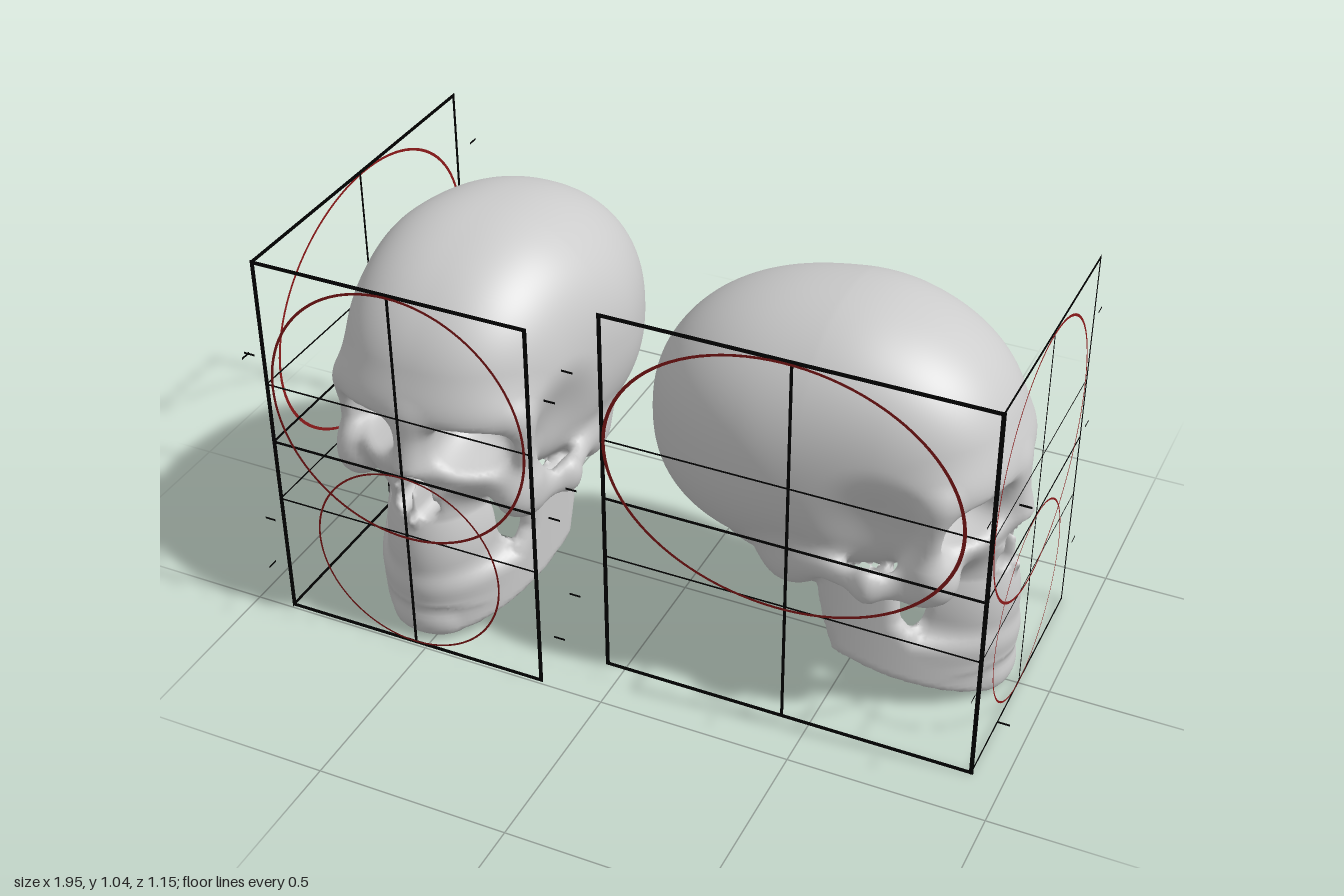
import * as THREE from 'three';

const { abs, min, max, hypot, pow } = Math;
const clamp = (v, a = 0, b = 1) => min(max(v, a), b);

// Smooth blend, smooth cut and basic distance fields
const smin = (a, b, k) => { const h = max(k - abs(a - b), 0) / k; return min(a, b) - h * h * k / 4; };
const smax = (a, b, k) => -smin(-a, -b, k);
function ell(x, y, z, cx, cy, cz, rx, ry, rz) {
  const a = (x - cx) / rx, b = (y - cy) / ry, c = (z - cz) / rz;
  const k = hypot(a, b, c);
  return k * (k - 1) / (hypot(a / rx, b / ry, c / rz) + 1e-6);
}
function cap(x, y, z, a, b, r, tall = 1) {
  const dx = b[0] - a[0], dy = b[1] - a[1], dz = b[2] - a[2];
  const px = x - a[0], py = y - a[1], pz = z - a[2];
  const t = clamp((px * dx + py * dy + pz * dz) / (dx * dx + dy * dy + dz * dz));
  return hypot(px - t * dx, (py - t * dy) / tall, pz - t * dz) - r;
}
function polygon(u, v, pts) {
  let d = Infinity, s = 1;
  for (let i = 0, j = pts.length - 1; i < pts.length; j = i++) {
    const [ax, ay] = pts[i], ex = pts[j][0] - ax, ey = pts[j][1] - ay, wx = u - ax, wy = v - ay;
    const t = clamp((wx * ex + wy * ey) / (ex * ex + ey * ey));
    d = min(d, hypot(wx - ex * t, wy - ey * t));
    const c1 = v >= ay, c2 = v < pts[j][1], c3 = ex * wy > ey * wx;
    if ((c1 && c2 && c3) || (!c1 && !c2 && !c3)) s = -s;
  }
  return s * d;
}
function ellipse2(x, z, a, b) {
  const k = hypot(x / a, z / b);
  return k * (k - 1) / (hypot(x / a / a, z / b / b) + 1e-6);
}

// Braincase: wide and round behind, a little narrower and squarer in front
function vault(x, y, z) {
  const t = THREE.MathUtils.smoothstep(z, -0.15, 0.18);
  const p = 2.15 + 0.3 * t, q = 2.35 - 0.33 * t;
  const yy = abs(y - 0.688 - (z < 0 ? 0.08 : 0.02) * z) / 0.347, zz = abs(z) / (z < 0 ? 0.48 : 0.443);
  const profile = pow(pow(yy, q) + pow(zz, q), 1 / q);
  return (pow(pow(x / (0.347 - 0.03 * t), p) + pow(profile, p), 1 / p) - 1) * 0.36;
}

function craniumField(x, y, z) {
  // braincase, brow, base and mastoids
  let f = vault(x, y, z);
  f = smin(f, ell(x, y, z, 0, 0.675, 0.315, 0.25, 0.07, 0.125), 0.07);
  f = smin(f, ell(x, y, z, 0, 0.375, -0.08, 0.19, 0.068, 0.22), 0.06);
  f = smin(f, ell(x, y, z, 0.235, 0.42, -0.03, 0.06, 0.085, 0.085), 0.06);
  // hollow temples and opening in the base
  f = smax(f, -ell(x, y, z, 0.425, 0.55, 0.2, 0.165, 0.17, 0.13), 0.08);
  f = smax(f, -ell(x, y, z, 0, 0.3, -0.08, 0.09, 0.075, 0.115), 0.02);
  // midface, outer eye rim, cheekbone and arch
  f = smin(f, ell(x, y, z, 0, 0.52, 0.28, 0.225, 0.14, 0.17), 0.04);
  f = smin(f, cap(x, y, z, [0.24, 0.66, 0.33], [0.25, 0.49, 0.31], 0.025), 0.05);
  f = smin(f, ell(x, y, z, 0.225, 0.44, 0.315, 0.062, 0.07, 0.068), 0.05);
  f = smin(f, cap(x, y, z, [0.25, 0.42, 0.29], [0.298, 0.424, 0.18], 0.021, 1.7), 0.04);
  f = smin(f, cap(x, y, z, [0.298, 0.424, 0.18], [0.265, 0.435, 0], 0.02, 1.5), 0.04);
  // nasal bones
  f = smin(f, cap(x, y, z, [0, 0.65, 0.42], [0, 0.535, 0.457], 0.029), 0.06);
  // block of the tooth rows
  const bulge = 0.02 * min(pow((y - 0.25) / 0.12, 2), 1);
  const arch = smax(ellipse2(x, z - 0.27, 0.15, 0.203) + bulge, 0.28 - z, 0.03);
  f = smin(f, max(arch, 0.14 - y, y - 0.45), 0.04);
  // eye sockets, open to the front and narrowing inward
  const depth = max(0.44 - z, 0);
  const ex = (x - 0.155 + 0.2 * depth) / 0.097, ey = (y - 0.583 + 0.15 * (x - 0.15)) / 0.066;
  const socket = (pow(pow(abs(ex), 3) + pow(abs(ey), 3) + pow(depth / 0.19, 3), 1 / 3) - 1) * 0.07;
  f = smax(f, -max(socket, 0.2 - z), 0.03);
  // nasal opening with septum, and spine below it
  const t = clamp((y - 0.405) / 0.1);
  const nostril = hypot(x - 0.033 + 0.022 * t, y - 0.405 - 0.1 * t) - 0.027 + 0.014 * t;
  f = smax(f, -max(nostril, 0.33 - z), 0.012);
  return smin(f, cap(x, y, z, [0, 0.367, 0.43], [0, 0.37, 0.462], 0.011), 0.02);
}

// Side outline of the jaw as [z, y]
const jawOutline = [[0.44, 0.012], [0.2, 0.093], [0.075, 0.148], [0.045, 0.25], [0.018, 0.41], [0.06, 0.42],
  [0.11, 0.395], [0.16, 0.4], [0.2, 0.43], [0.225, 0.38], [0.235, 0.26], [0.28, 0.205], [0.5, 0.165], [0.5, 0.03]];

function jawField(x, y, z) {
  const wall = abs(ellipse2(x, z, 0.25, 0.466) + 0.026) - 0.026;
  const f = smax(wall, polygon(z, y, jawOutline), 0.03);
  return smin(f, ell(x, y, z, 0, 0.056, 0.428, 0.08, 0.042, 0.042), 0.03);
}

// Cranium and jaw run into each other at the tooth rows
function skullField(x, y, z) {
  x = abs(x);
  return smin(craniumField(x, y, z), jawField(x, y, z), z > 0.26 ? 0.06 : 0.015);
}

// Turns a distance field into a smooth quad mesh on a regular grid
function skin(field, lo, hi, step) {
  const n = lo.map((v, i) => Math.ceil((hi[i] - v) / step) + 1);
  const stride = [1, n[0], n[0] * n[1]];
  const val = new Float32Array(n[0] * n[1] * n[2]), cell = new Int32Array(val.length).fill(-1);
  const each = (m, fn) => {
    for (let k = m; k < n[2] - 1; k++) for (let j = m; j < n[1] - 1; j++) for (let i = m; i < n[0] - 1; i++)
      fn([i, j, k], i + j * stride[1] + k * stride[2]);
  };
  for (let k = 0, id = 0; k < n[2]; k++) for (let j = 0; j < n[1]; j++) for (let i = 0; i < n[0]; i++)
    val[id++] = field(lo[0] + i * step, lo[1] + j * step, lo[2] + k * step);

  const pos = [], nor = [], idx = [];
  each(0, (p, id) => {
    let count = 0;
    const sum = [0, 0, 0];
    for (let c = 0; c < 8; c++) for (let ax = 0; ax < 3; ax++) {
      if (c >> ax & 1) continue;
      const o = [c & 1, c >> 1 & 1, c >> 2 & 1];
      const s = id + o[0] + o[1] * stride[1] + o[2] * stride[2];
      const v0 = val[s], v1 = val[s + stride[ax]];
      if ((v0 < 0) === (v1 < 0)) continue;
      o[ax] = v0 / (v0 - v1);
      for (let d = 0; d < 3; d++) sum[d] += o[d];
      count++;
    }
    if (!count) return;
    const [x, y, z] = sum.map((s, d) => lo[d] + (p[d] + s / count) * step);
    const e = step * 0.5;
    const g = new THREE.Vector3(field(x + e, y, z) - field(x - e, y, z),
      field(x, y + e, z) - field(x, y - e, z), field(x, y, z + e) - field(x, y, z - e)).normalize();
    cell[id] = pos.length / 3;
    pos.push(x, y, z);
    nor.push(g.x, g.y, g.z);
  });
  each(1, (p, id) => {
    for (let ax = 0; ax < 3; ax++) {
      const inside = val[id] < 0;
      if (inside === (val[id + stride[ax]] < 0)) continue;
      const b = stride[(ax + 1) % 3], c = stride[(ax + 2) % 3];
      const quad = [cell[id - b - c], cell[id - c], cell[id], cell[id - b]];
      if (!inside) quad.reverse();
      idx.push(quad[0], quad[1], quad[2], quad[0], quad[2], quad[3]);
    }
  });
  const geo = new THREE.BufferGeometry();
  geo.setAttribute('position', new THREE.Float32BufferAttribute(pos, 3));
  geo.setAttribute('normal', new THREE.Float32BufferAttribute(nor, 3));
  geo.setIndex(idx);
  return geo;
}

export function createModel() {
  const bone = new THREE.MeshStandardMaterial({ color: 0xcccccc });
  const black = new THREE.MeshStandardMaterial({ color: 0x000000, side: THREE.DoubleSide });
  const red = new THREE.MeshStandardMaterial({ color: 0x8b1a1a, side: THREE.DoubleSide });
  const add = (parent, name, geo, mat, x = 0, y = 0, z = 0) => {
    const mesh = new THREE.Mesh(geo, mat);
    mesh.name = name;
    mesh.position.set(x, y, z);
    parent.add(mesh);
    return mesh;
  };

  // Flat proportion panel: frame, dividing lines, guide ellipses and span marks
  function panel(name, u0, u1, ellipses, marks) {
    const g = new THREE.Group(), y0 = 0.01, y1 = 1.043, T = 0.011;
    g.name = name;
    const bar = (label, x, y, w, h) => add(g, label, new THREE.PlaneGeometry(w, h), black, x, y);
    for (const y of [y0, y1]) bar('frameRail', (u0 + u1) / 2, y, u1 - u0 + T, T);
    for (const u of [u0, u1]) bar('framePost', u, (y0 + y1) / 2, T, y1 - y0);
    for (const [y, h] of [[0.352, 0.005], [0.527, 0.008], [0.698, 0.005]]) bar('levelLine', (u0 + u1) / 2, y, u1 - u0, h);
    bar('centreLine', 0.003, (y0 + y1) / 2, 0.008, y1 - y0);
    for (const [u, y, rx, ry] of ellipses)
      add(g, 'guideEllipse', new THREE.RingGeometry(0.989, 1.009, 96), red, u, y, 0.001).scale.set(rx, ry, 1);
    for (const [u, y] of marks) bar('spanMark', u, y, 0.03, 0.006);
    return g;
  }

  const skull = skin(skullField, [-0.3828, -0.04, -0.54], [0.39, 1.09, 0.54], 0.0132);

  function study(name, x, turn) {
    const g = new THREE.Group();
    g.name = name;
    add(g, 'skull', skull, bone);
    const front = panel('frontPanel', -0.363, 0.363, [[0, 0.69, 0.347, 0.347], [0, 0.269, 0.257, 0.257]],
      [[-0.405, 0.775], [-0.405, 0.275], [0.42, 0.865], [0.42, 0.53], [0.42, 0.165]]);
    front.position.z = 0.493;
    const side = panel('sidePanel', -0.473, 0.493, [[-0.02, 0.69, 0.45, 0.347]],
      [[0.56, 0.82], [0.56, 0.19], [-0.56, 0.865], [-0.56, 0.525], [-0.56, 0.2]]);
    side.rotation.y = -Math.PI / 2;
    side.position.x = -0.365;
    g.add(front, side);
    g.position.x = x;
    g.rotation.y = turn;
    return g;
  }

  const model = new THREE.Group();
  model.name = 'skullStudy';
  model.add(study('frontSkull', -0.533, 0), study('profileSkull', 0.426, Math.PI / 2));
  return model;
}
